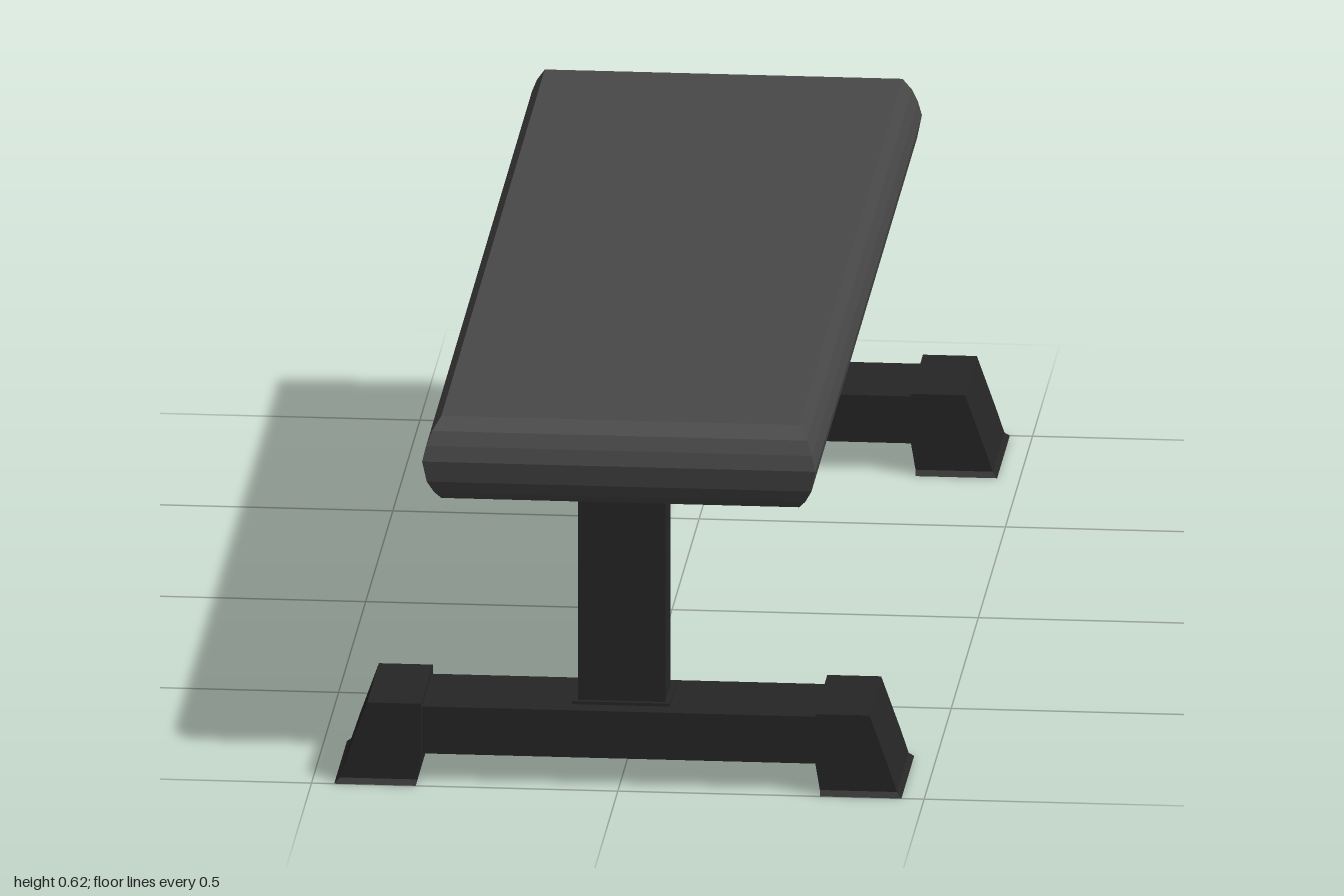
import * as THREE from 'three';

// Stack of rectangular sections [x0, x1, halfDepth, y], listed bottom to top
function loft(sections) {
  const pos = [], idx = [];
  for (const [x0, x1, h, y] of sections) {
    pos.push(x0, y, h, x1, y, h, x1, y, -h, x0, y, -h);
  }
  const last = (sections.length - 1) * 4;
  for (let s = 0; s < last; s += 4) {
    for (let i = 0; i < 4; i++) {
      const a = s + i, b = s + (i + 1) % 4;
      idx.push(a, b, b + 4, a, b + 4, a + 4);
    }
  }
  idx.push(0, 2, 1, 0, 3, 2, last, last + 1, last + 2, last, last + 2, last + 3);
  const indexed = new THREE.BufferGeometry();
  indexed.setAttribute('position', new THREE.Float32BufferAttribute(pos, 3));
  indexed.setIndex(idx);
  const geo = indexed.toNonIndexed();
  geo.computeVertexNormals();
  return geo;
}

export function createModel() {
  const model = new THREE.Group();
  model.name = 'flatBench';
  const padMat = new THREE.MeshStandardMaterial({ color: 0x484848, flatShading: true });
  const frameMat = new THREE.MeshStandardMaterial({ color: 0x262626, flatShading: true });

  const add = (parent, name, geo, mat) => {
    const mesh = new THREE.Mesh(geo, mat);
    mesh.name = name;
    parent.add(mesh);
    return mesh;
  };
  const box = (parent, name, w, y0, y1, d) =>
    add(parent, name, new THREE.BoxGeometry(w, y1 - y0, d), frameMat).position.y = (y0 + y1) / 2;

  // Padded top with bulging edges and mitred corners: [inset, height]
  const edge = [
    [0.029, 0.477], [0.018, 0.49], [0.007, 0.511], [0, 0.547],
    [0.006, 0.572], [0.015, 0.595], [0.029, 0.617],
  ];
  add(model, 'pad', loft(edge.map(([i, y]) => [i - 0.321, 0.321 - i, 0.983 - i, y])), padMat);

  // Foot: sloped outer side, short inward taper below the beam, thin flared lip
  const footGeo = loft([
    [0.33, 0.463, 0.1175, 0], [0.329, 0.455, 0.108, 0.008],
    [0.322, 0.441, 0.108, 0.05], [0.322, 0.41, 0.108, 0.137],
  ]);

  // One stand at each end
  for (const [name, z] of [['frontStand', 0.8825], ['rearStand', -0.8825]]) {
    const stand = new THREE.Group();
    stand.name = name;
    stand.position.z = z;
    model.add(stand);
    box(stand, 'post', 0.143, 0.12, 0.48, 0.095);
    box(stand, 'postCollar', 0.16, 0.12, 0.132, 0.112);
    box(stand, 'crossBeam', 0.76, 0.047, 0.127, 0.18);
    add(stand, 'leftFoot', footGeo, frameMat);
    add(stand, 'rightFoot', footGeo, frameMat).rotation.y = Math.PI;
  }
  return model;
}
